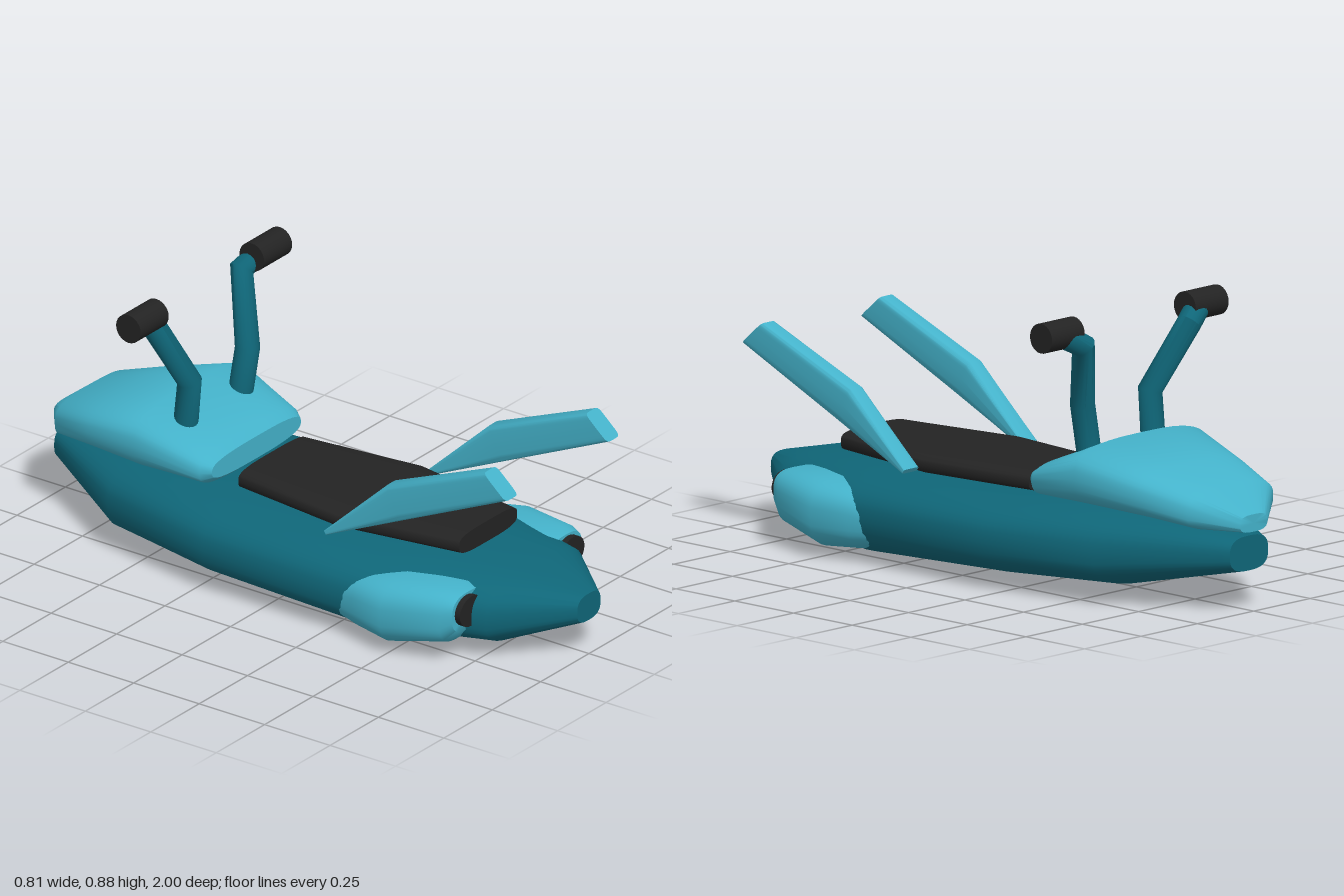
import * as THREE from 'three';
import { toCreasedNormals } from 'three/addons/utils/BufferGeometryUtils.js';

const V = (x, y, z) => new THREE.Vector3(x, y, z);

// Superellipse ring around c with half-axes u and v; higher n is squarer
function ring(c, u, v, n, count) {
  const pw = (k) => Math.sign(k) * Math.pow(Math.abs(k), 2 / n);
  return Array.from({ length: count }, (_, i) => {
    const t = (i / count) * Math.PI * 2;
    return c.clone().addScaledVector(u, pw(Math.cos(t))).addScaledVector(v, pw(Math.sin(t)));
  });
}

// Closed skin over a list of rings, with flat end caps
function loft(rings) {
  const n = rings[0].length;
  const pos = [];
  const tri = (...pts) => pts.forEach((p) => pos.push(p.x, p.y, p.z));
  const centre = (r) => r.reduce((s, p) => s.add(p), V(0, 0, 0)).divideScalar(n);
  const first = rings[0], last = rings[rings.length - 1];
  const c0 = centre(first), c1 = centre(last);
  for (let j = 0; j < n; j++) {
    const k = (j + 1) % n;
    for (let i = 0; i < rings.length - 1; i++) {
      const a = rings[i], b = rings[i + 1];
      tri(a[j], a[k], b[k]);
      tri(a[j], b[k], b[j]);
    }
    tri(c0, first[k], first[j]);
    tri(c1, last[j], last[k]);
  }
  const g = new THREE.BufferGeometry();
  g.setAttribute('position', new THREE.Float32BufferAttribute(pos, 3));
  return toCreasedNormals(g, 0.75);
}

// Body from sections [z, centre x, half width, bottom y, top y], z ascending
const body = (sections, n, count = 40) => loft(sections.map(([z, cx, hw, y0, y1]) =>
  ring(V(cx, (y0 + y1) / 2, z), V(hw, 0, 0), V(0, (y1 - y0) / 2, 0), n, count)));

// Round bar through points, mitred at the bends
function bar(points, radius) {
  return loft(points.map((p, i) => {
    const d = V(0, 0, 0);
    if (i > 0) d.add(p.clone().sub(points[i - 1]).normalize());
    if (i < points.length - 1) d.add(points[i + 1].clone().sub(p).normalize());
    d.normalize();
    const u = V(0, 0, 1).addScaledVector(d, -d.z).normalize();
    const v = d.clone().cross(u);
    return ring(p, u.multiplyScalar(radius), v.multiplyScalar(radius), 2, 20);
  }));
}

export function createModel() {
  const model = new THREE.Group();
  const mat = (name, color) => {
    const m = new THREE.MeshStandardMaterial({ color });
    m.name = name;
    return m;
  };
  const dark = mat('dark teal', 0x0f6678);
  const light = mat('light teal', 0x44b2ca);
  const black = mat('black', 0x232323);
  const add = (name, geometry, material) => {
    const m = new THREE.Mesh(geometry, material);
    m.name = name;
    model.add(m);
    return m;
  };

  // Hull
  add('hull', body([
    [-0.98, 0, 0.085, 0.13, 0.24],
    [-0.61, 0, 0.31, 0.05, 0.295],
    [-0.2, 0, 0.375, 0.03, 0.287],
    [0.38, 0, 0.365, 0.005, 0.278],
    [0.79, 0, 0.25, 0.04, 0.255],
    [1.0, 0, 0.06, 0.12, 0.21],
  ], 2.8), dark);

  // Raised hood over one end of the hull
  add('hood', body([
    [-1.0, 0, 0.06, 0.255, 0.31],
    [-0.9, 0, 0.19, 0.26, 0.387],
    [-0.74, 0, 0.24, 0.275, 0.435],
    [-0.52, 0, 0.3, 0.287, 0.495],
    [-0.3, 0, 0.255, 0.285, 0.405],
    [-0.27, 0, 0.23, 0.31, 0.385],
  ], 3), light);

  // Seat pad
  add('seat', body([
    [-0.21, 0, 0.175, 0.28, 0.35],
    [0.2, 0, 0.225, 0.28, 0.35],
    [0.615, 0, 0.15, 0.28, 0.35],
  ], 3.5), black);

  for (const [side, s] of [['left', 1], ['right', -1]]) {
    // Side pod
    add(side + 'Pod', body([
      [0.3, s * 0.26, 0.1, 0.055, 0.205],
      [0.37, s * 0.26, 0.115, 0.04, 0.225],
      [0.5, s * 0.26, 0.145, 0.03, 0.243],
      [0.69, s * 0.25, 0.105, 0.07, 0.245],
      [0.725, s * 0.25, 0.085, 0.11, 0.235],
    ], 2.8), light);

    // Exhaust nozzle at the end of the pod
    const nozzle = add(side + 'Nozzle', new THREE.CylinderGeometry(0.05, 0.05, 0.1, 24), black);
    nozzle.rotation.x = Math.PI / 2;
    nozzle.scale.x = 1.2;
    nozzle.position.set(s * 0.262, 0.178, 0.695);

    // Swept fin: [upper z, upper y, lower z, lower y]
    add(side + 'Fin', loft([
      [0.205, 0.312, 0.215, 0.298],
      [0.44, 0.53, 0.5, 0.425],
      [0.815, 0.68, 0.9, 0.605],
    ].map(([z1, y1, z0, y0]) => ring(
      V(s * 0.263, (y0 + y1) / 2, (z0 + z1) / 2), V(0.033, 0, 0),
      V(0, (y1 - y0) / 2, (z1 - z0) / 2), 6, 32))), light);

    // Handlebar and grip
    add(side + 'Handlebar', bar([
      V(s * 0.14, 0.4, -0.44), V(s * 0.15, 0.59, -0.415),
      V(s * 0.235, 0.8, -0.5), V(s * 0.31, 0.843, -0.47),
    ], 0.039), dark);
    const grip = add(side + 'Grip', new THREE.CylinderGeometry(0.047, 0.047, 0.145, 24), black);
    grip.rotation.z = Math.PI / 2;
    grip.position.set(s * 0.319, 0.843, -0.47);
  }
  return model;
}
